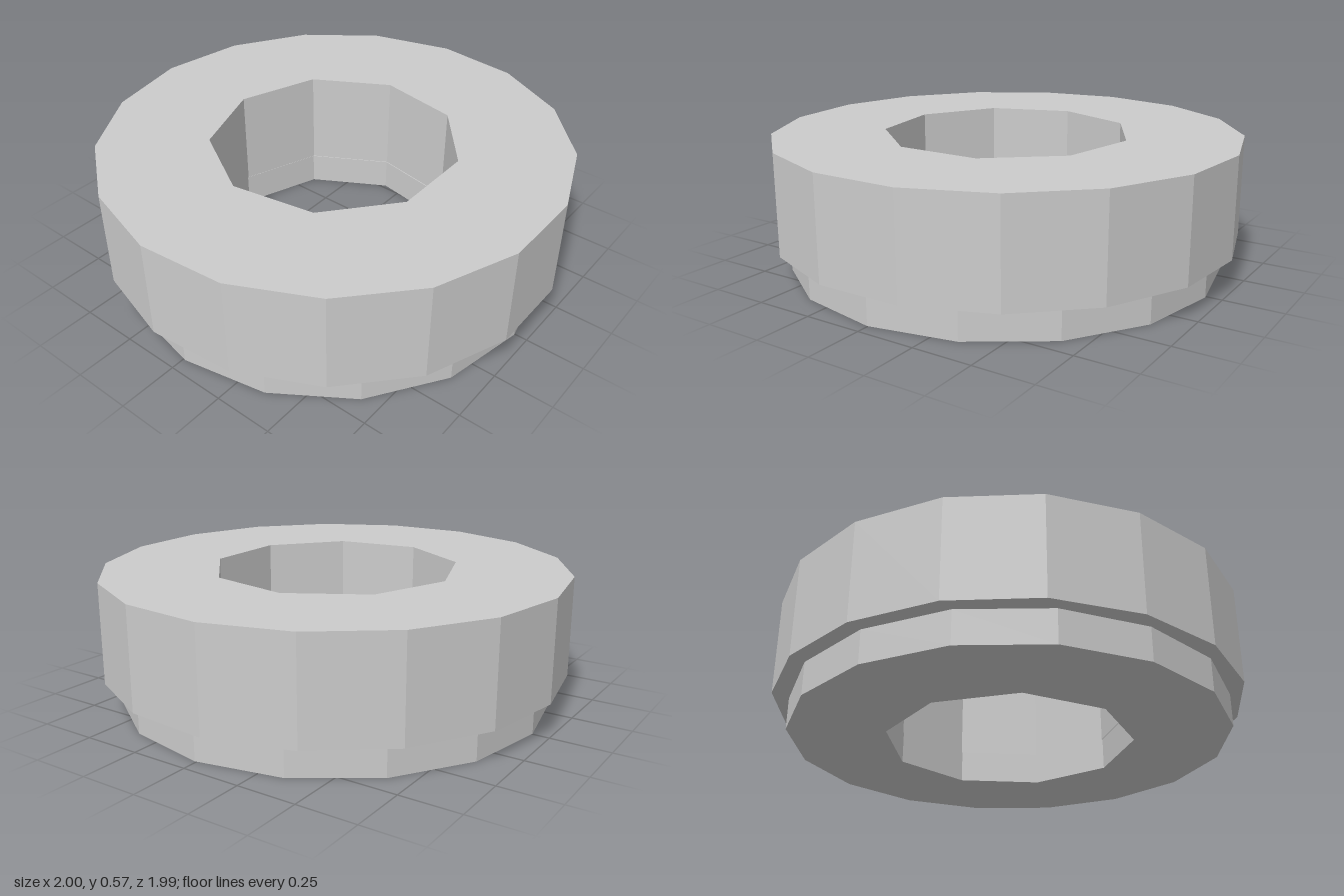
import * as THREE from 'three';

const HOLE_RADIUS = 0.53, HOLE_SIDES = 9;
const STEP_Y = 0.14, TOP_Y = 0.567;

// Corners of a regular polygon with its first corner at the back
function polygon(radius, sides) {
  return Array.from({ length: sides }, (_, i) => {
    const a = (i / sides) * Math.PI * 2;
    return new THREE.Vector2(-Math.sin(a) * radius, Math.cos(a) * radius);
  });
}

// Flat-sided ring standing between two heights
function ring(name, radius, sides, y0, y1, material) {
  const shape = new THREE.Shape(polygon(radius, sides));
  shape.holes.push(new THREE.Path(polygon(HOLE_RADIUS, HOLE_SIDES)));
  const geometry = new THREE.ExtrudeGeometry(shape, { depth: y1 - y0, bevelEnabled: false });
  geometry.rotateX(-Math.PI / 2);
  geometry.translate(0, y0, 0);
  const mesh = new THREE.Mesh(geometry, material);
  mesh.name = name;
  return mesh;
}

export function createModel() {
  const model = new THREE.Group();
  model.name = 'steppedRing';
  const material = new THREE.MeshStandardMaterial({ color: 0xcccccc, flatShading: true });

  // Narrower foot and wide body share one nine-sided bore
  const foot = ring('footRing', 0.937, 16, 0, STEP_Y, material);
  foot.position.x = -0.004;
  model.add(foot, ring('bodyRing', 1.004, 17, STEP_Y, TOP_Y, material));

  // Odd-sided outline: shift so its extent is centred on z
  model.position.z = 0.0085;
  return model;
}
